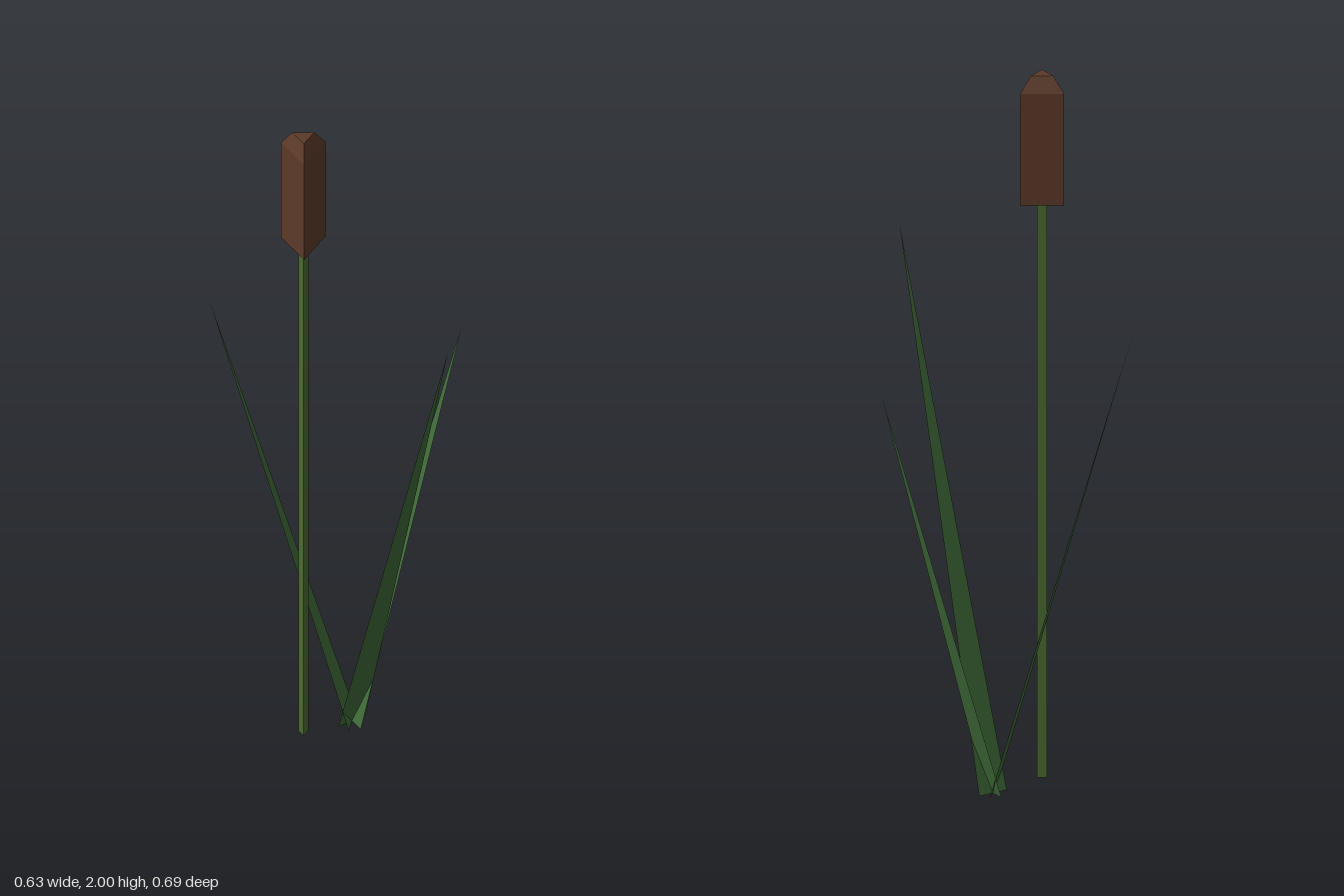
import * as THREE from 'three';

const mat = (color, side = THREE.FrontSide) =>
  new THREE.MeshStandardMaterial({ color, flatShading: true, side });

// Three-sided solid from a radius/height profile, one corner facing +x
function prism(name, profile, material) {
  const pts = profile.map(([r, y]) => new THREE.Vector2(r, y));
  const mesh = new THREE.Mesh(new THREE.LatheGeometry(pts, 3, Math.PI / 2), material);
  mesh.name = name;
  return mesh;
}

// Flat triangular leaf: base across the origin, tip leaning outwards
function blade(name, tip, width, material) {
  const [x, y, z] = tip;
  const len = Math.hypot(x, z);
  const px = (z / len) * width / 2, pz = (-x / len) * width / 2;
  const g = new THREE.BufferGeometry();
  g.setAttribute('position', new THREE.Float32BufferAttribute(
    [-px, 0, -pz, px, 0, pz, x, y, z], 3));
  g.computeVertexNormals();
  const mesh = new THREE.Mesh(g, material);
  mesh.name = name;
  return mesh;
}

export function createModel() {
  const model = new THREE.Group();
  model.name = 'cattail';

  // Stalk with the seed head on top
  const stalk = new THREE.Group();
  stalk.name = 'stalk';
  stalk.position.set(-0.181, 0, -0.086);
  stalk.add(
    prism('stem', [[0, 0.02], [0.015, 0.02], [0.015, 1.66], [0, 1.66]], mat(0x4b6b30)),
    prism('seedHead', [[0, 1.64], [0.068, 1.64], [0.068, 1.955], [0.034, 2], [0, 2]], mat(0x5c3a28)),
  );
  model.add(stalk);

  // Three leaves fanning out from a shared foot
  const leafMat = mat(0x3f6b38, THREE.DoubleSide);
  const leaves = new THREE.Group();
  leaves.name = 'leaves';
  leaves.position.set(-0.03, 0, -0.086);
  leaves.add(
    blade('frontLeaf', [0.037, 1.48, 0.428], 0.09, leafMat),
    blade('leftLeaf', [0.345, 1.185, 0], 0.09, leafMat),
    blade('backLeaf', [-0.285, 1.34, -0.26], 0.09, leafMat),
  );
  model.add(leaves);
  return model;
}
